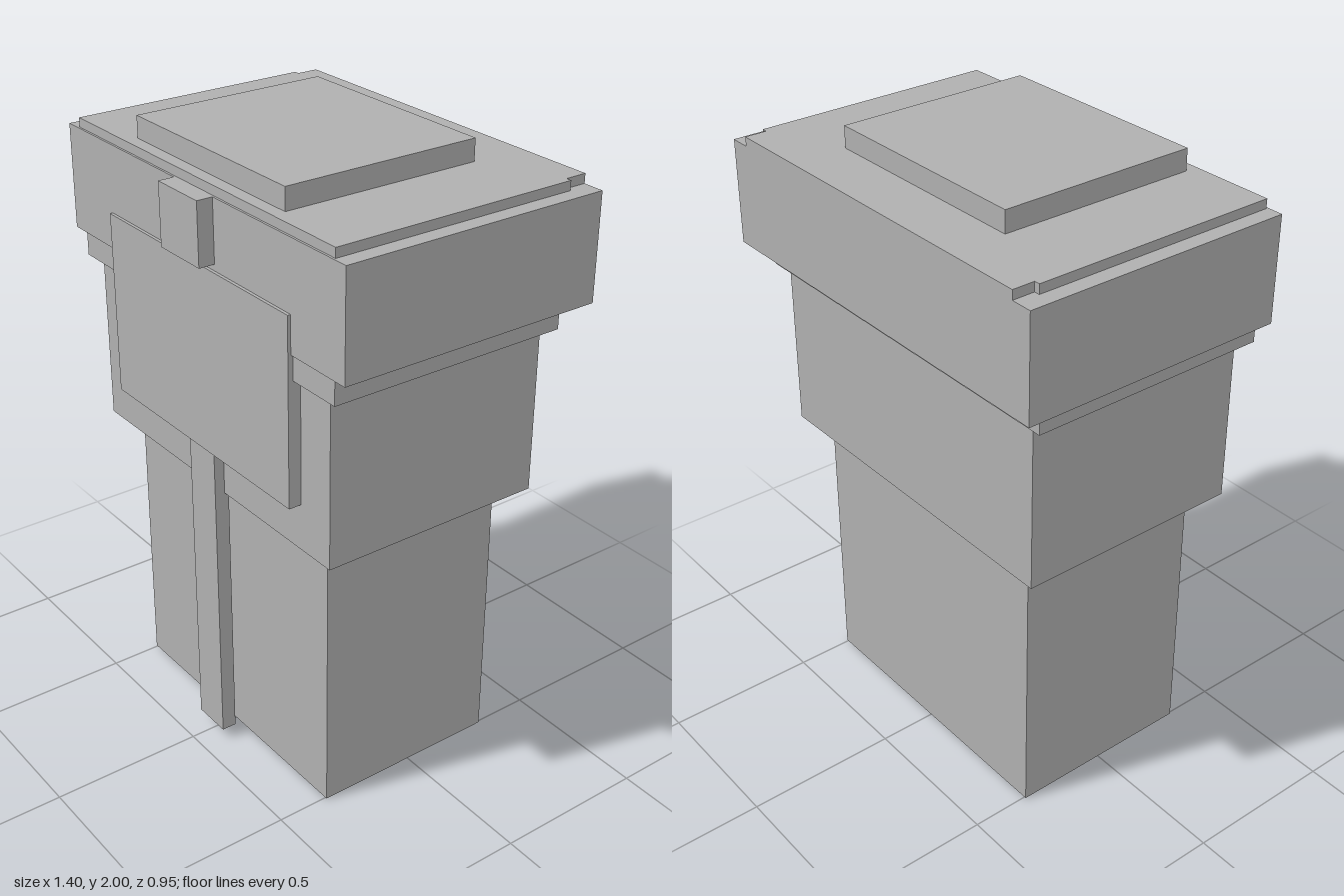
import * as THREE from 'three';

export function createModel() {
  const model = new THREE.Group();
  const grey = new THREE.MeshStandardMaterial({ color: 0xb0b0b0 });
  grey.name = 'grey';

  // Box centred on x, given its half width and its y and z limits
  function block(name, halfWidth, y0, y1, z0, z1) {
    const geometry = new THREE.BoxGeometry(halfWidth * 2, y1 - y0, z1 - z0);
    const mesh = new THREE.Mesh(geometry, grey);
    mesh.name = name;
    mesh.position.set(0, (y0 + y1) / 2, (z0 + z1) / 2);
    model.add(mesh);
  }

  // Stacked body
  block('base', 0.506, 0, 0.93, -0.308, 0.328);
  block('body', 0.597, 0.93, 1.48, -0.372, 0.39);
  block('lowerCollar', 0.648, 1.48, 1.56, -0.393, 0.415);
  block('head', 0.7, 1.56, 1.9, -0.472, 0.422);

  // Lid with its narrower rear strip and raised cap
  block('lid', 0.648, 1.9, 1.93, -0.4, 0.415);
  block('lidRear', 0.63, 1.9, 1.93, -0.472, -0.4);
  block('topCap', 0.373, 1.93, 2, -0.288, 0.373);

  // Front details
  block('frontPanel', 0.462, 1.08, 1.68, 0.385, 0.432);
  block('frontStrip', 0.066, 0.035, 1.08, 0.375, 0.424);
  block('latch', 0.099, 1.7, 1.9, 0.42, 0.474);

  return model;
}
